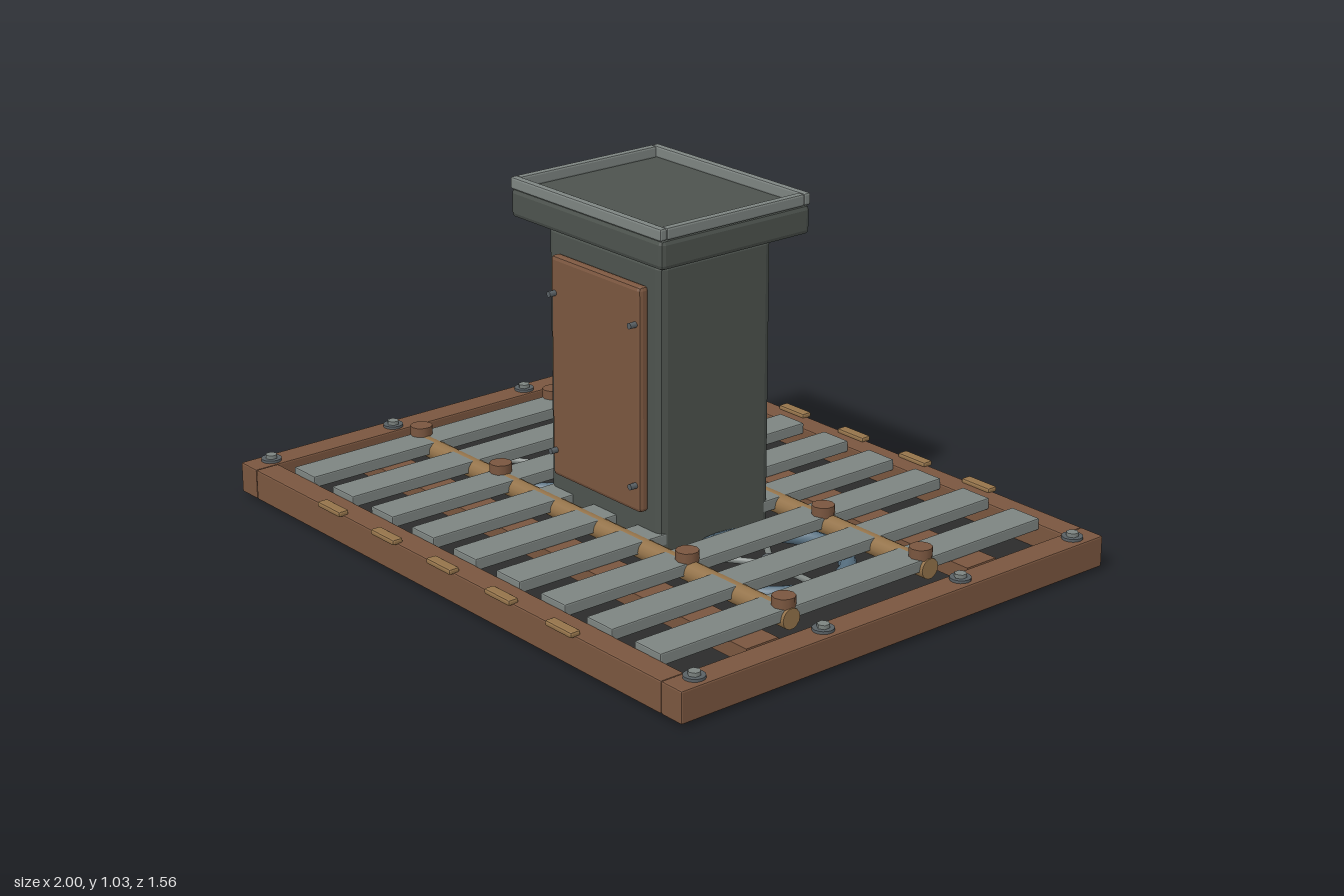
import * as THREE from 'three';
import { RoundedBoxGeometry } from 'three/addons/geometries/RoundedBoxGeometry.js';

function material(name, color) {
  const m = new THREE.MeshStandardMaterial({ color });
  m.name = name;
  return m;
}

export function createModel() {
  const rust = material('rustBrown', 0x7a563f);
  const steel = material('paleSteel', 0x7d8481);
  const iron = material('darkIron', 0x4d534e);
  const floorMat = material('blackFloor', 0x2b2b2b);
  const brass = material('brass', 0x94734a);
  const blue = material('wheelBlue', 0x566f80);
  const bolt = material('boltGrey', 0x596064);

  const model = new THREE.Group();
  model.name = 'gratedPedestal';

  function add(parent, name, geo, mat, x = 0, y = 0, z = 0) {
    const mesh = new THREE.Mesh(geo, mat);
    mesh.name = name;
    mesh.position.set(x, y, z);
    parent.add(mesh);
    return mesh;
  }
  // Box given by its min/max extents, with chamfered edges
  function block(parent, name, mat, [x0, x1], [y0, y1], [z0, z1], bevel = 0) {
    const s = [x1 - x0, y1 - y0, z1 - z0];
    const geo = bevel ? new RoundedBoxGeometry(...s, 1, bevel) : new THREE.BoxGeometry(...s);
    geo.computeVertexNormals();
    return add(parent, name, geo, mat, (x0 + x1) / 2, (y0 + y1) / 2, (z0 + z1) / 2);
  }
  function group(name) {
    const g = new THREE.Group();
    g.name = name;
    model.add(g);
    return g;
  }

  // Base frame and floor
  const base = group('base');
  block(base, 'floor', floorMat, [-0.93, 0.93], [0.014, 0.03], [-0.7, 0.7]);
  for (const s of [-1, 1]) {
    block(base, 'sideRail', rust, [s * 0.96 - 0.04, s * 0.96 + 0.04], [0.01, 0.102], [-0.765, 0.765], 0.005);
    block(base, 'endRail', rust, [-0.92, 0.92], [0.01, 0.102], [s * 0.727 - 0.038, s * 0.727 + 0.038], 0.005);
    block(base, 'crossPlank', rust, [-0.89, 0.89], [0.04, 0.085], [s * 0.4 - 0.055, s * 0.4 + 0.055]);
    // Small clips over the rail edges
    for (let i = -2; i <= 2; i++) {
      const x = i * 0.262;
      block(base, 'clip', brass, [x - 0.055, x + 0.055], [0.098, 0.115], [s * 0.763 - 0.017, s * 0.763 + 0.017], 0.006);
    }
    // Hex bolts with washers on the side rails
    for (const z of [-0.687, -0.25, 0.25, 0.687]) {
      add(base, 'washer', new THREE.CylinderGeometry(0.03, 0.03, 0.008, 16), bolt, s * 0.957, 0.106, z);
      add(base, 'hexBolt', new THREE.CylinderGeometry(0.018, 0.018, 0.012, 6), steel, s * 0.957, 0.115, z);
    }
  }
  // Plates under the base
  block(base, 'bottomPlate', rust, [-0.28, 0.28], [0.003, 0.02], [-0.21, 0.21]);
  block(base, 'bottomHatch', brass, [-0.2, 0.2], [0, 0.01], [-0.2, 0.2]);

  // Grating slats
  const grating = group('grating');
  for (let i = -4; i <= 4; i++) {
    const x = i * 0.1945;
    block(grating, 'slat', steel, [x - 0.052, x + 0.052], [0.085, 0.12], [-0.69, 0.69], 0.004);
  }
  // Pipes across the slats, with capping bolts
  for (const s of [-1, 1]) {
    const pipe = add(grating, 'pipe', new THREE.CylinderGeometry(0.03, 0.03, 1.68, 14), brass, 0, 0.092, s * 0.253);
    pipe.rotation.z = Math.PI / 2;
    for (const x of [-0.81, -0.417, 0.417, 0.805]) {
      add(grating, 'pipeBolt', new THREE.CylinderGeometry(0.033, 0.033, 0.032, 10), rust, x, 0.132, s * 0.25);
    }
  }

  // Spoked wheels beneath the slats
  for (const s of [-1, 1]) {
    const wheel = group('wheel');
    wheel.position.set(s * 0.48, 0.058, 0);
    const rim = add(wheel, 'wheelRim', new THREE.TorusGeometry(0.21, 0.026, 8, 32), blue);
    rim.rotation.x = Math.PI / 2;
    add(wheel, 'wheelHub', new THREE.CylinderGeometry(0.028, 0.028, 0.04, 12), bolt);
    for (let i = 0; i < 5; i++) {
      const arm = new THREE.Group();
      arm.name = 'spokeArm';
      arm.rotation.y = (i * Math.PI * 2) / 5;
      wheel.add(arm);
      const spoke = add(arm, 'spoke', new THREE.CylinderGeometry(0.01, 0.01, 0.2, 8), steel, 0.1, 0, 0);
      spoke.rotation.z = Math.PI / 2;
    }
  }

  // Pedestal body and cap
  const pedestal = group('pedestal');
  block(pedestal, 'body', iron, [-0.248, 0.248], [0.02, 0.907], [-0.2, 0.2], 0.024);
  block(pedestal, 'cap', iron, [-0.328, 0.328], [0.915, 1.0], [-0.265, 0.265], 0.014);
  for (const s of [-1, 1]) {
    block(pedestal, 'capEdgeLong', steel, [-0.325, 0.325], [0.998, 1.033], [s * 0.256 - 0.012, s * 0.256 + 0.012], 0.006);
    block(pedestal, 'capEdgeShort', steel, [s * 0.314 - 0.012, s * 0.314 + 0.012], [0.998, 1.033], [-0.245, 0.245], 0.006);
  }

  // Front access panel with four screws
  block(pedestal, 'panel', rust, [-0.197, 0.193], [0.174, 0.83], [0.196, 0.23], 0.012);
  for (const x of [-0.178, 0.174]) for (const y of [0.254, 0.722]) {
    const screw = add(pedestal, 'screw', new THREE.CylinderGeometry(0.009, 0.009, 0.03, 8), bolt, x, y, 0.237);
    screw.rotation.x = Math.PI / 2;
  }
  return model;
}
